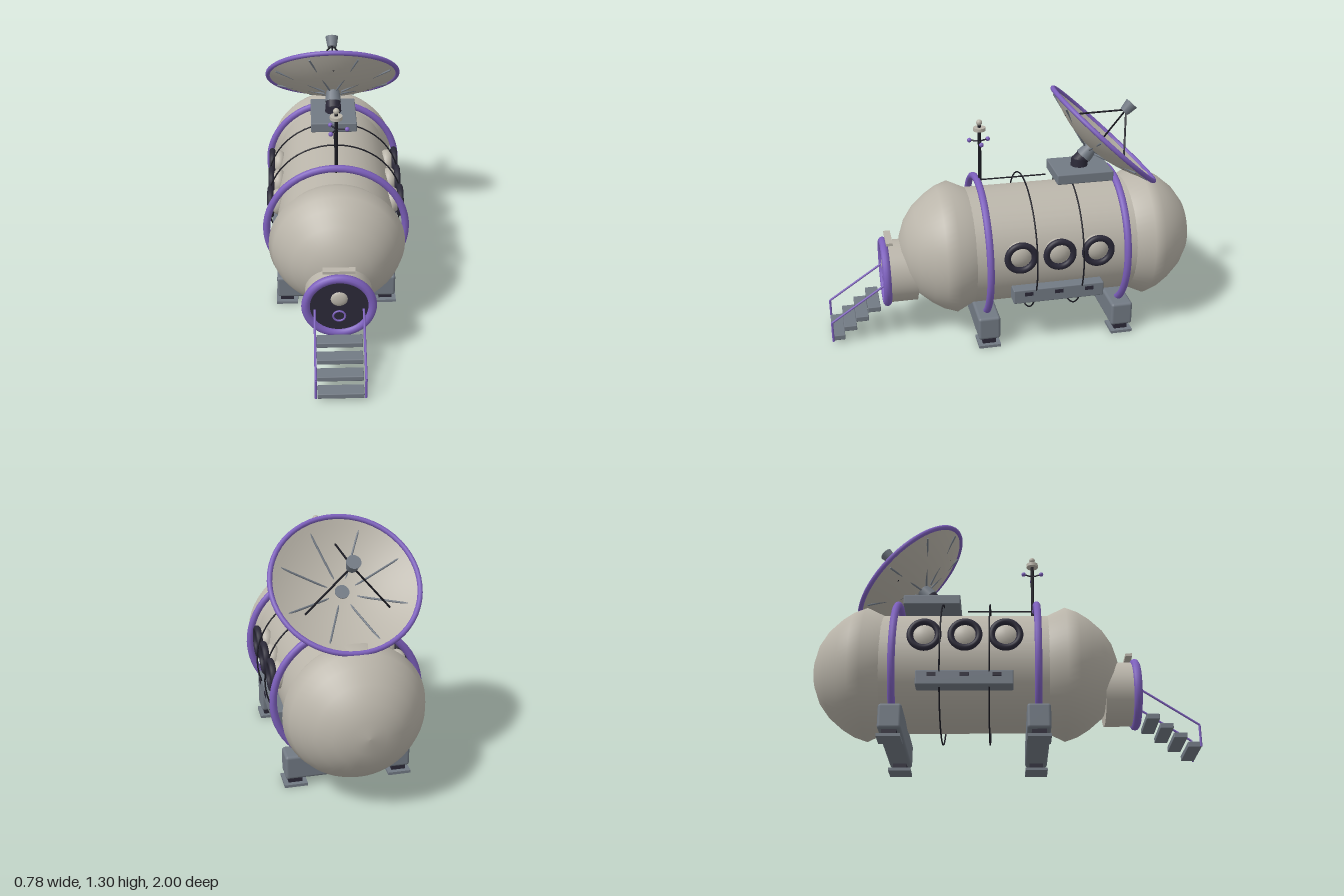
import * as THREE from 'three';
import { RoundedBoxGeometry } from 'three/addons/geometries/RoundedBoxGeometry.js';

const V = (x, y, z) => new THREE.Vector3(x, y, z);

export function createModel() {
  const model = new THREE.Group();
  model.name = 'habitatModule';

  const mat = (name, color, side = THREE.FrontSide) => {
    const m = new THREE.MeshStandardMaterial({ color, side });
    m.name = name;
    return m;
  };
  const shell = mat('shell', 0xbab5aa, THREE.DoubleSide);
  const purple = mat('purpleTrim', 0x7d60bd);
  const steel = mat('steel', 0x727a84);
  const navy = mat('darkNavy', 0x2b2938);
  const black = mat('blackRod', 0x1b1b23);

  const add = (name, geo, m, pos = [0, 0, 0], parent = model) => {
    const mesh = new THREE.Mesh(geo, m);
    mesh.name = name;
    mesh.position.set(...pos);
    parent.add(mesh);
    return mesh;
  };
  const box = (name, w, h, d, m, pos, parent) => add(name, new THREE.BoxGeometry(w, h, d), m, pos, parent);
  const rounded = (name, w, h, d, r, m, pos) => add(name, new RoundedBoxGeometry(w, h, d, 2, r), m, pos);
  const ring = (name, R, t, m, pos, parent) => add(name, new THREE.TorusGeometry(R, t, 10, 56), m, pos, parent);
  const ball = (name, r, m, pos, parent) => add(name, new THREE.SphereGeometry(r, 20, 14), m, pos, parent);
  // cylinder along z
  const drum = (name, r, len, m, pos) => {
    const g = new THREE.CylinderGeometry(r, r, len, 48);
    return add(name, g.rotateX(Math.PI / 2), m, pos);
  };
  // straight rod between two points
  const rod = (name, a, b, r, m, parent = model) => {
    const mesh = add(name, new THREE.CylinderGeometry(r, r, a.distanceTo(b), 8), m, [0, 0, 0], parent);
    mesh.position.copy(a).lerp(b, 0.5);
    mesh.quaternion.setFromUnitVectors(V(0, 1, 0), b.clone().sub(a).normalize());
    return mesh;
  };

  // Hull: barrel with a bulging dome at each end
  const CY = 0.46;
  drum('hullBarrel', 0.312, 1.0, shell, [0, CY, -0.19]);
  const domeProfile = [[0.3, -0.115], [0.355, 0], [0.332, 0.065], [0.295, 0.125], [0.235, 0.195], [0.165, 0.245], [0.085, 0.275], [0, 0.284]]
    .map(([r, h]) => new THREE.Vector2(r, h));
  for (const [name, s, z] of [['frontDome', 1, 0.328], ['rearDome', -1, -0.712]]) {
    const g = new THREE.LatheGeometry(domeProfile, 56);
    add(name, g.rotateX(s * Math.PI / 2), shell, [0, CY, z]);
  }

  // Purple hoops, cross beams and feet
  for (const z of [0.18, -0.55]) {
    ring('hullHoop', 0.37, 0.019, purple, [0, CY, z]);
    rounded('supportBeam', 0.645, 0.13, 0.118, 0.015, steel, [0, 0.11, z]);
    for (const s of [-1, 1]) {
      box('footPost', 0.072, 0.04, 0.072, navy, [s * 0.27, 0.032, z]);
      box('footPad', 0.118, 0.015, 0.118, steel, [s * 0.27, 0.0075, z]);
    }
  }

  // Cables round and along the hull
  for (const z of [-0.065, -0.312]) ring('hullCable', 0.37, 0.004, black, [0, CY, z]);
  rod('roofCable', V(0, 0.834, 0.18), V(0, 0.834, -0.19), 0.004, black);

  // Portholes and equipment rails on both sides
  for (const s of [-1, 1]) {
    for (const z of [0.018, -0.187, -0.392]) {
      ring('portholeRim', 0.071, 0.017, navy, [s * 0.35, 0.53, z]).rotation.y = Math.PI / 2;
      ball('portholeGlass', 0.071, shell, [s * 0.308, 0.53, z]).scale.x = 0.65;
    }
    rounded('sideRail', 0.085, 0.078, 0.486, 0.006, steel, [s * 0.307, 0.3, -0.187]);
    for (const z of [-0.025, -0.187, -0.35])
      box('railSlot', 0.006, 0.02, 0.045, navy, [s * 0.35, 0.314, z]);
  }

  // Airlock and hatch
  const DY = 0.345;
  drum('airlockTunnel', 0.168, 0.16, shell, [0, DY, 0.61]);
  ring('hatchRing', 0.166, 0.022, purple, [0, DY, 0.692]);
  drum('hatchDoor', 0.152, 0.012, navy, [0, DY, 0.69]);
  ball('hatchWindow', 0.044, shell, [0, 0.39, 0.692]).scale.z = 0.4;
  ring('hatchWheel', 0.03, 0.005, purple, [0, 0.287, 0.7]);
  box('hatchAwning', 0.16, 0.015, 0.035, shell, [0, 0.54, 0.665]);

  // Stairs and handrails
  for (let i = 0; i < 4; i++)
    rounded('stairStep', 0.23, 0.029, 0.068, 0.004, steel, [0, 0.031 + i * 0.05, 0.964 - i * 0.066]);
  for (const s of [-1, 1]) {
    const x = s * 0.122;
    rod('handrail', V(x, 0.33, 0.7), V(x, 0.132, 0.994), 0.006, purple);
    rod('handrailPost', V(x, 0.132, 0.994), V(x, 0.018, 0.994), 0.006, purple);
  }

  // Weather mast
  const mz = 0.165;
  rod('mast', V(0, 0.8, mz), V(0, 1.14, mz), 0.009, black);
  add('mastCap', new THREE.CylinderGeometry(0.032, 0.032, 0.018, 20), shell, [0, 1.118, mz]);
  ball('mastTip', 0.016, shell, [0, 1.153, mz]);
  for (let i = 0; i < 3; i++) {
    const a = i * Math.PI * 2 / 3;
    const end = V(0.056 * Math.cos(a), 1.05, mz + 0.056 * Math.sin(a));
    rod('sensorArm', V(0, 1.05, mz), end, 0.004, navy);
    ball('sensorBall', 0.012, purple, end.toArray());
  }

  // Dish base
  rounded('dishBase', 0.252, 0.055, 0.305, 0.006, steel, [0, 0.846, -0.378]);
  add('dishPedestal', new THREE.CylinderGeometry(0.042, 0.046, 0.05, 20), navy, [0, 0.89, -0.375]);

  // Tilted dish: local y is its axis, the rim lies at local y = 0
  const dish = new THREE.Group();
  dish.name = 'dish';
  dish.position.set(0, 1.038, -0.505);
  dish.rotation.x = -0.75;
  model.add(dish);
  const bowlY = r => -0.1 + 0.1 * (r / 0.364) ** 2;
  const bowl = [];
  for (let i = 0; i <= 10; i++) bowl.push(new THREE.Vector2(0.0364 * i, bowlY(0.0364 * i)));
  add('dishBowl', new THREE.LatheGeometry(bowl, 56), shell, [0, 0, 0], dish);
  ring('dishRim', 0.364, 0.013, purple, [0, 0, 0], dish).rotation.x = Math.PI / 2;
  add('dishHub', new THREE.CylinderGeometry(0.036, 0.045, 0.065, 16), steel, [0, -0.127, 0], dish);
  add('dishJoint', new THREE.CylinderGeometry(0.04, 0.04, 0.05, 16), navy, [0, -0.175, 0], dish);
  for (let i = 0; i < 8; i++) {
    const a = (i + 0.5) * Math.PI / 4, c = Math.cos(a), s = Math.sin(a);
    rod('dishRib', V(0.05 * c, -0.108, 0.05 * s), V(0.34 * c, -0.022, 0.34 * s), 0.005, steel, dish);
  }
  for (let i = 0; i < 3; i++) {
    const a = Math.PI / 2 + i * Math.PI * 2 / 3;
    rod('feedStrut', V(0.24 * Math.cos(a), bowlY(0.24), 0.24 * Math.sin(a)), V(0, 0.175, 0), 0.005, black, dish);
  }
  add('feedHorn', new THREE.CylinderGeometry(0.036, 0.026, 0.06, 16), steel, [0, 0.19, 0], dish);

  return model;
}
